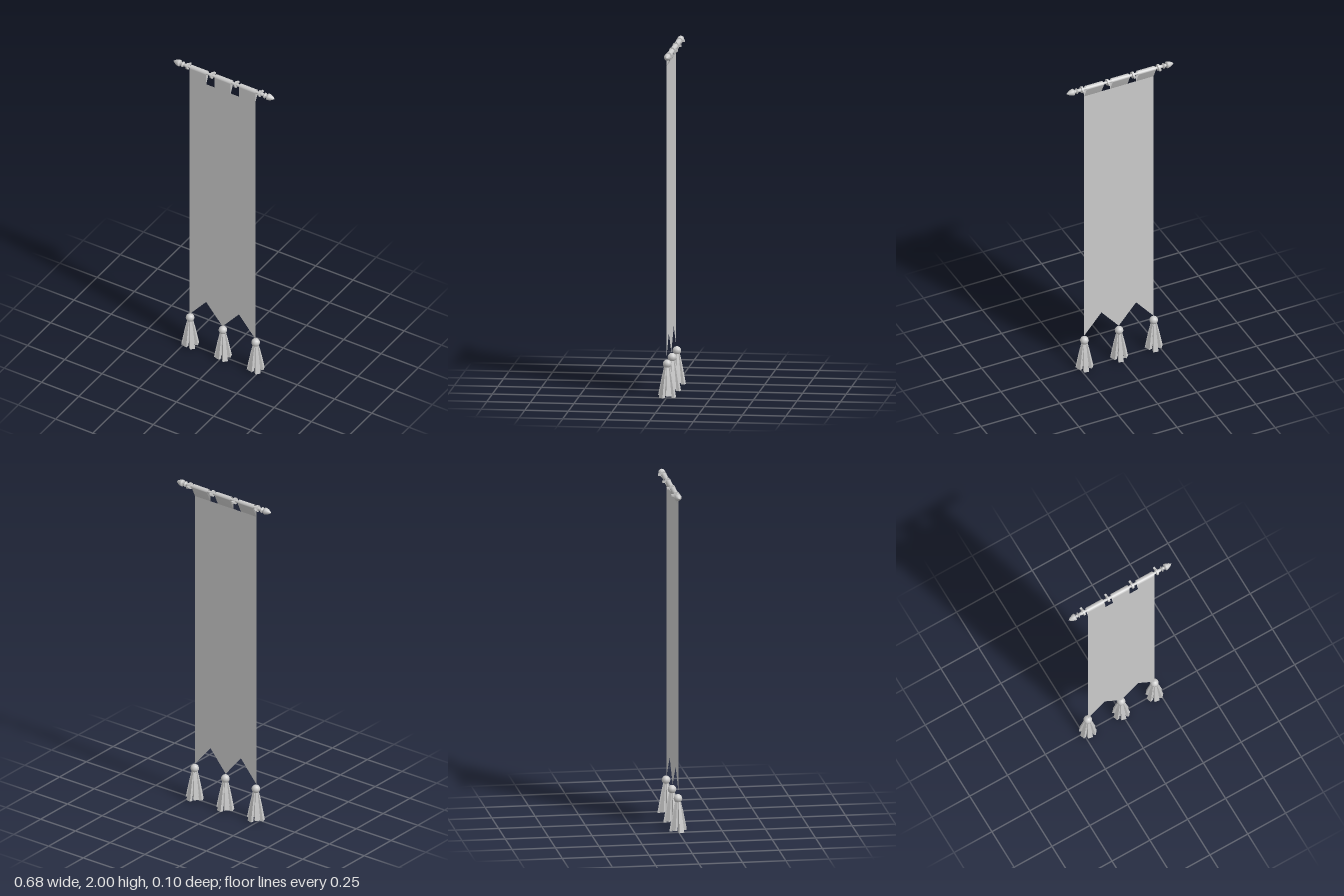
import * as THREE from 'three';

const ROD_Y = 1.98, ROD_Z = -0.012, LOOP_R = 0.016, CLOTH_Z = 0.004, TAB_Y = 1.915;

export function createModel() {
  const group = new THREE.Group();
  const metal = new THREE.MeshStandardMaterial({ color: 0xcccccc });
  const cloth = new THREE.MeshStandardMaterial({ color: 0xcccccc, side: THREE.DoubleSide });
  const flat = new THREE.MeshStandardMaterial({ color: 0xcccccc, flatShading: true });

  function add(parent, name, geometry, material, x = 0, y = 0, z = 0) {
    const mesh = new THREE.Mesh(geometry, material);
    mesh.name = name;
    mesh.position.set(x, y, z);
    parent.add(mesh);
    return mesh;
  }

  // Cloth panel with a zigzag hem
  const panel = new THREE.Shape([
    [-0.22, 0.22], [-0.11, 0.35], [0, 0.22], [0.11, 0.35], [0.22, 0.22],
    [0.22, TAB_Y], [-0.22, TAB_Y],
  ].map(([x, y]) => new THREE.Vector2(x, y)));
  add(group, 'bannerCloth', new THREE.ShapeGeometry(panel), cloth, 0, 0, CLOTH_Z);

  // Tabs: up the front, over the rod and back down to the panel
  const section = [[CLOTH_Z, TAB_Y]];
  for (let i = 0; i <= 12; i++) {
    const a = Math.PI * i / 12;
    section.push([ROD_Z + LOOP_R * Math.cos(a), ROD_Y + LOOP_R * Math.sin(a)]);
  }
  section.push([CLOTH_Z - 0.001, TAB_Y]);
  for (const x of [-0.165, 0, 0.165]) {
    const tab = new THREE.PlaneGeometry(0.11, 1, 1, section.length - 1);
    const p = tab.attributes.position;
    for (let i = 0; i < p.count; i++) {
      const [z, y] = section[section.length - 1 - Math.floor(i / 2)];
      p.setXYZ(i, -p.getX(i), y, z);
    }
    tab.computeVertexNormals();
    add(group, 'clothTab', tab, cloth, x);
  }

  // Hanging rod
  const rod = add(group, 'rod', new THREE.CylinderGeometry(0.008, 0.008, 0.52, 16), metal, 0, ROD_Y, ROD_Z);
  rod.rotation.z = Math.PI / 2;

  // Turned finials at both ends
  const profile = [
    [0.008, 0.235], [0.011, 0.25], [0.009, 0.266], [0.006, 0.27], [0.017, 0.273], [0.017, 0.278],
    [0.006, 0.281], [0.012, 0.286], [0.006, 0.291], [0.008, 0.294], [0.02, 0.295],
    [0.0195, 0.303], [0.016, 0.315], [0.009, 0.329], [0, 0.34],
  ].map(([r, y]) => new THREE.Vector2(r, y));
  for (const side of [-1, 1]) {
    const finial = add(group, 'finial', new THREE.LatheGeometry(profile, 16), metal, 0, ROD_Y, ROD_Z);
    finial.rotation.z = -side * Math.PI / 2;
  }

  // Wall brackets: a ring round the rod with a peg behind
  const ringShape = new THREE.Shape().absarc(0, 0, 0.019, 0, Math.PI * 2);
  ringShape.holes.push(new THREE.Path().absarc(0, 0, 0.008, 0, Math.PI * 2, true));
  const ringGeometry = new THREE.ExtrudeGeometry(ringShape, { depth: 0.012, bevelEnabled: false, curveSegments: 10 });
  ringGeometry.translate(0, 0, -0.006).rotateY(Math.PI / 2);
  for (const x of [-0.242, -0.08, 0.08, 0.242]) {
    const bracket = new THREE.Group();
    bracket.name = 'bracket';
    bracket.position.set(x, ROD_Y, ROD_Z);
    add(bracket, 'bracketRing', ringGeometry, metal);
    add(bracket, 'bracketPeg', new THREE.BoxGeometry(0.012, 0.012, 0.018), metal, 0, 0, -0.022);
    group.add(bracket);
  }

  // One tassel strand: a box that widens and swings outward towards its foot
  function strandGeometry(foot) {
    const g = new THREE.BoxGeometry(1, 1, 1, 1, 3, 1);
    const p = g.attributes.position;
    for (let i = 0; i < p.count; i++) {
      const t = 0.5 - p.getY(i);
      const out = 0.011 + 0.029 * Math.pow(t, 0.85);
      p.setXYZ(i,
        p.getX(i) * (0.011 + 0.02 * t),
        0.18 + (foot - 0.18) * t,
        out + p.getZ(i) * (0.008 + 0.01 * t));
    }
    return g;
  }
  const strands = [strandGeometry(0), strandGeometry(0.012)];

  // Tassels hang from the three points of the hem
  for (const x of [-0.22, 0, 0.22]) {
    const tassel = new THREE.Group();
    tassel.name = 'tassel';
    tassel.position.x = x;
    add(tassel, 'tasselKnot', new THREE.SphereGeometry(0.025, 12, 8), metal, 0, 0.192);
    add(tassel, 'tasselCore', new THREE.CylinderGeometry(0.014, 0.034, 0.15, 8), flat, 0, 0.105);
    for (let i = 0; i < 6; i++) {
      const strand = add(tassel, 'tasselStrand', strands[i % 2], flat);
      strand.rotation.y = Math.PI - 0.2 + i * Math.PI / 3;
    }
    group.add(tassel);
  }

  return group;
}
